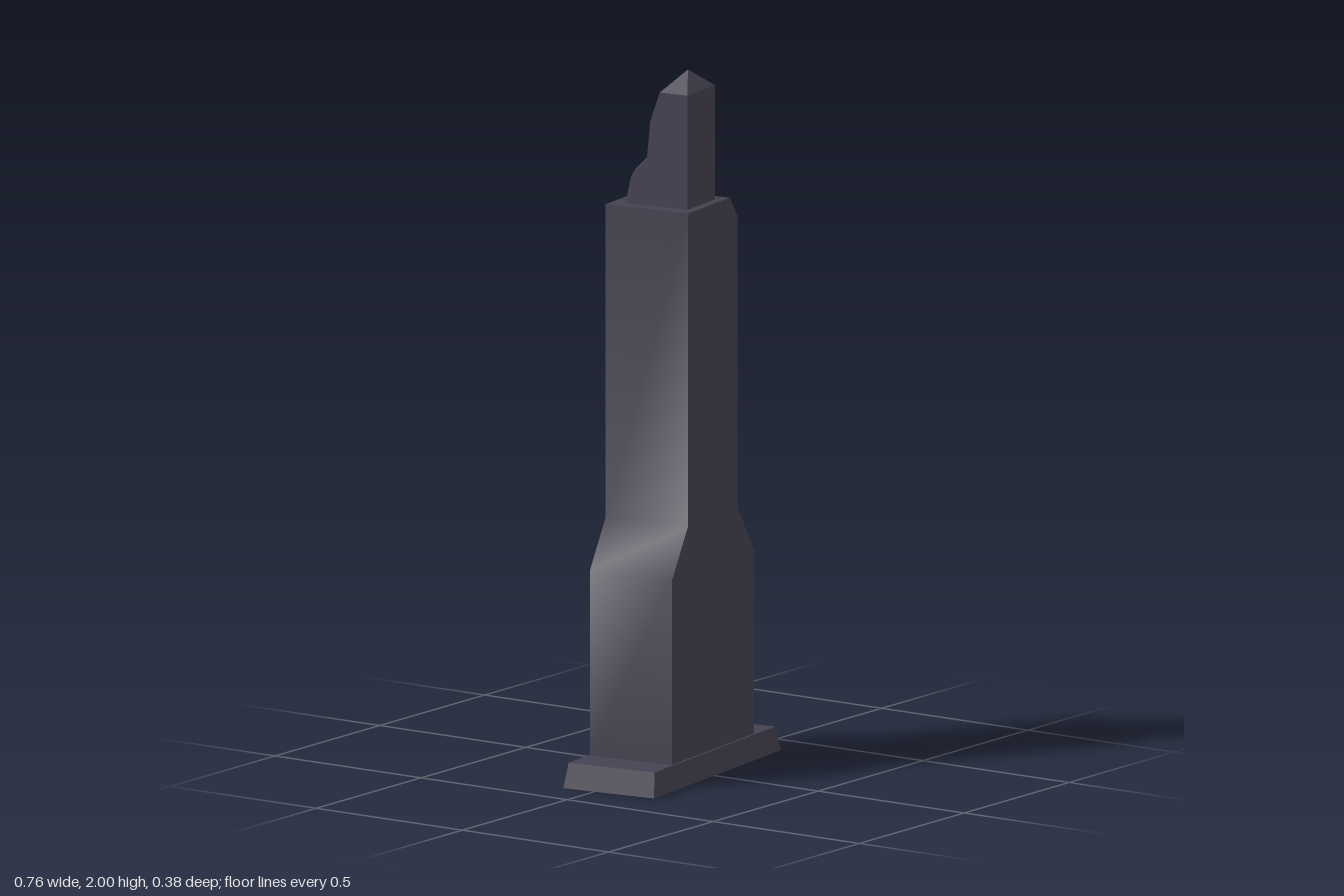
import * as THREE from 'three';
import { toCreasedNormals } from 'three/addons/utils/BufferGeometryUtils.js';

// Skin stacked rings of [x, y, z] points (counterclockwise from above);
// an optional tip closes the top as a fan.
function loft(rings, tip) {
  const v = [];
  const n = rings[0].length;
  for (let r = 0; r + 1 < rings.length; r++) {
    for (let i = 0; i < n; i++) {
      const j = (i + 1) % n;
      const [a, b, c, d] = [rings[r][i], rings[r][j], rings[r + 1][j], rings[r + 1][i]];
      v.push(...a, ...b, ...c, ...a, ...c, ...d);
    }
  }
  if (tip) {
    const top = rings[rings.length - 1];
    for (let i = 0; i < n; i++) v.push(...top[i], ...top[(i + 1) % n], ...tip);
  }
  const g = new THREE.BufferGeometry();
  g.setAttribute('position', new THREE.Float32BufferAttribute(v, 3));
  g.computeVertexNormals();
  return g;
}

const rect = (w, d, y) => [[-w, y, d], [w, y, d], [w, y, -d], [-w, y, -d]];

export function createModel() {
  const model = new THREE.Group();
  model.name = 'steppedTower';
  const crease = THREE.MathUtils.degToRad(56);
  const stone = new THREE.MeshStandardMaterial({ color: 0x454351 });
  stone.name = 'dark slate';
  const shell = new THREE.MeshStandardMaterial({ color: 0x454351, side: THREE.DoubleSide });
  shell.name = 'dark slate shell';

  const add = (name, geometry, material = stone) => {
    const mesh = new THREE.Mesh(geometry, material);
    mesh.name = name;
    model.add(mesh);
  };

  // Sloped plinth, hollow underneath
  add('plinth', loft([rect(0.367, 0.144, 0), rect(0.35, 0.136, 0.07)], [0, 0.07, 0]), shell);

  // Shouldered shaft with one chamfered top corner
  const outline = new THREE.Shape([
    [-0.237, 0.07], [0.237, 0.07], [0.237, 0.595], [0.142, 0.73], [0.142, 1.56],
    [0.097, 1.62], [-0.145, 1.62], [-0.145, 0.73], [-0.237, 0.595],
  ].map(([x, y]) => new THREE.Vector2(x, y)));
  const shaft = new THREE.ExtrudeGeometry(outline, { depth: 0.261, bevelEnabled: false });
  shaft.translate(0, 0, -0.131);
  add('shaft', toCreasedNormals(shaft, crease));

  // Turret: straight front and sides, back stepping outwards towards the foot.
  // Each row: height, then back depth at the left, middle and right.
  const rings = [
    [1.62, -0.091, -0.12, -0.113],
    [1.70, -0.072, -0.104, -0.09],
    [1.75, -0.023, -0.055, -0.036],
    [1.86, -0.012, -0.041, -0.028],
    [1.945, 0.018, 0.007, -0.003],
  ].map(([y, l, m, r]) => [
    [-0.104, y, 0.106], [0.056, y, 0.106], [0.056, y, r], [-0.02, y, m], [-0.104, y, l],
  ]);
  add('turret', toCreasedNormals(loft(rings), crease));

  // Pointed roof
  add('roof', loft([rings[rings.length - 1]], [-0.023, 2, 0.063]));

  model.rotation.y = 0.122;
  return model;
}
